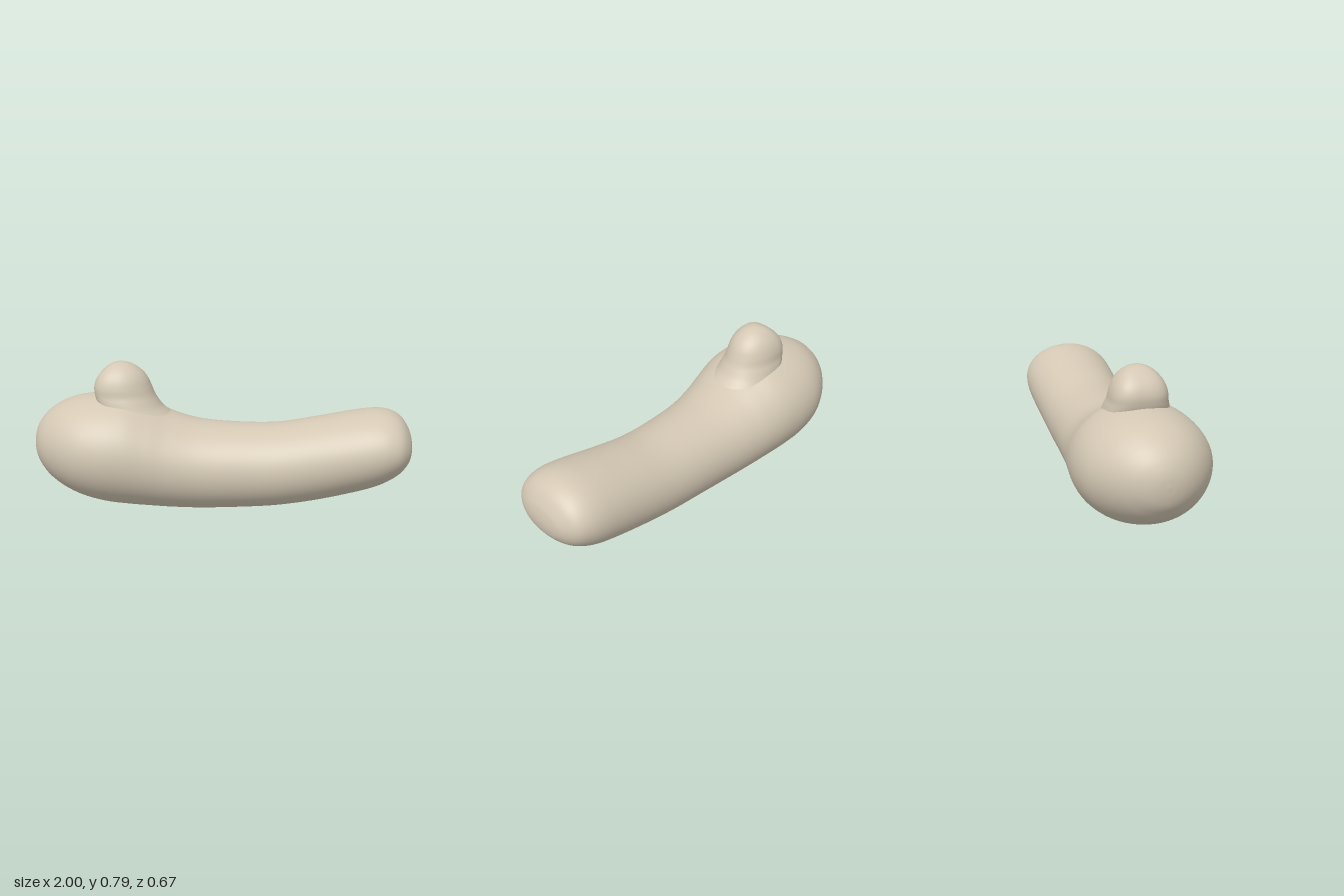
import * as THREE from 'three';

// Smoothly interpolated table of key sections (four numbers each)
function sampler(keys) {
  const a = new THREE.CatmullRomCurve3(keys.map(k => new THREE.Vector3(k[0], k[1], k[2])), false, 'catmullrom', 0.5);
  const b = new THREE.CatmullRomCurve3(keys.map(k => new THREE.Vector3(k[3], 0, 0)), false, 'catmullrom', 0.5);
  return t => [...a.getPoint(t).toArray(), Math.max(0, b.getPoint(t).x)];
}

// Loft of closed rings with shared vertices, so the normals are smooth
function loft(keys, place, rows, cols) {
  const at = sampler(keys), pos = [], idx = [];
  for (let i = 0; i <= rows; i++) {
    const section = at(i / rows);
    for (let j = 0; j < cols; j++) pos.push(...place(section, (j / cols) * Math.PI * 2));
  }
  for (let i = 0; i < rows; i++) {
    for (let j = 0; j < cols; j++) {
      const k = (j + 1) % cols;
      const a = i * cols + j, b = i * cols + k, c = a + cols, d = b + cols;
      idx.push(a, b, c, b, d, c);
    }
  }
  const g = new THREE.BufferGeometry();
  g.setAttribute('position', new THREE.Float32BufferAttribute(pos, 3));
  g.setIndex(idx);
  g.computeVertexNormals();
  return g;
}

export function createModel() {
  const clay = new THREE.MeshStandardMaterial({ color: 0xd4c8b4 });
  clay.name = 'warm clay';
  const model = new THREE.Group();
  model.name = 'bentBodyWithKnob';

  // Body sections: x, top, bottom, half width
  const bodyKeys = [
    [-1, 0.345, 0.345, 0], [-0.995, 0.395, 0.295, 0.05], [-0.98, 0.44, 0.245, 0.1],
    [-0.95, 0.487, 0.2, 0.155], [-0.9, 0.533, 0.148, 0.212], [-0.82, 0.576, 0.097, 0.272],
    [-0.72, 0.6, 0.056, 0.317], [-0.6, 0.61, 0.028, 0.333], [-0.48, 0.602, 0.015, 0.326],
    [-0.36, 0.556, 0.008, 0.305], [-0.25, 0.51, 0.003, 0.284], [-0.1, 0.475, 0.002, 0.262],
    [0.1, 0.464, 0.012, 0.248], [0.3, 0.47, 0.03, 0.244], [0.5, 0.506, 0.066, 0.247],
    [0.68, 0.543, 0.112, 0.254], [0.8, 0.56, 0.15, 0.255], [0.88, 0.552, 0.188, 0.242],
    [0.94, 0.518, 0.232, 0.21], [0.98, 0.459, 0.283, 0.145], [0.995, 0.41, 0.325, 0.075],
    [1, 0.366, 0.366, 0],
  ];
  const body = new THREE.Mesh(loft(bodyKeys, ([x, top, bottom, w], a) =>
    [x, (top + bottom) / 2 + (top - bottom) / 2 * Math.cos(a), w * Math.sin(a)], 150, 80), clay);
  body.name = 'body';
  model.add(body);

  // Knob sections: y, left x, right x, half width; square towards -x, flared towards +x
  const knobKeys = [
    [0.45, -0.62, -0.2, 0.17], [0.51, -0.63, -0.265, 0.17], [0.55, -0.64, -0.31, 0.162],
    [0.59, -0.655, -0.338, 0.152], [0.62, -0.664, -0.354, 0.143], [0.66, -0.667, -0.37, 0.137],
    [0.7, -0.655, -0.388, 0.124], [0.735, -0.63, -0.415, 0.102], [0.765, -0.594, -0.455, 0.069],
    [0.781, -0.56, -0.493, 0.034], [0.787, -0.527, -0.527, 0],
  ];
  const knob = new THREE.Mesh(loft(knobKeys, ([y, x0, x1, w], a) => {
    const c = Math.cos(a), s = Math.sin(a);
    const mid = x0 + (x1 - x0) * 0.42;
    const p = c < 0 ? 0.72 : 1;
    const x = c < 0 ? mid - (mid - x0) * Math.pow(-c, p) : mid + (x1 - mid) * c;
    return [x, y, -w * Math.sign(s) * Math.pow(Math.abs(s), p)];
  }, 60, 64), clay);
  knob.name = 'knob';
  model.add(knob);

  return model;
}
